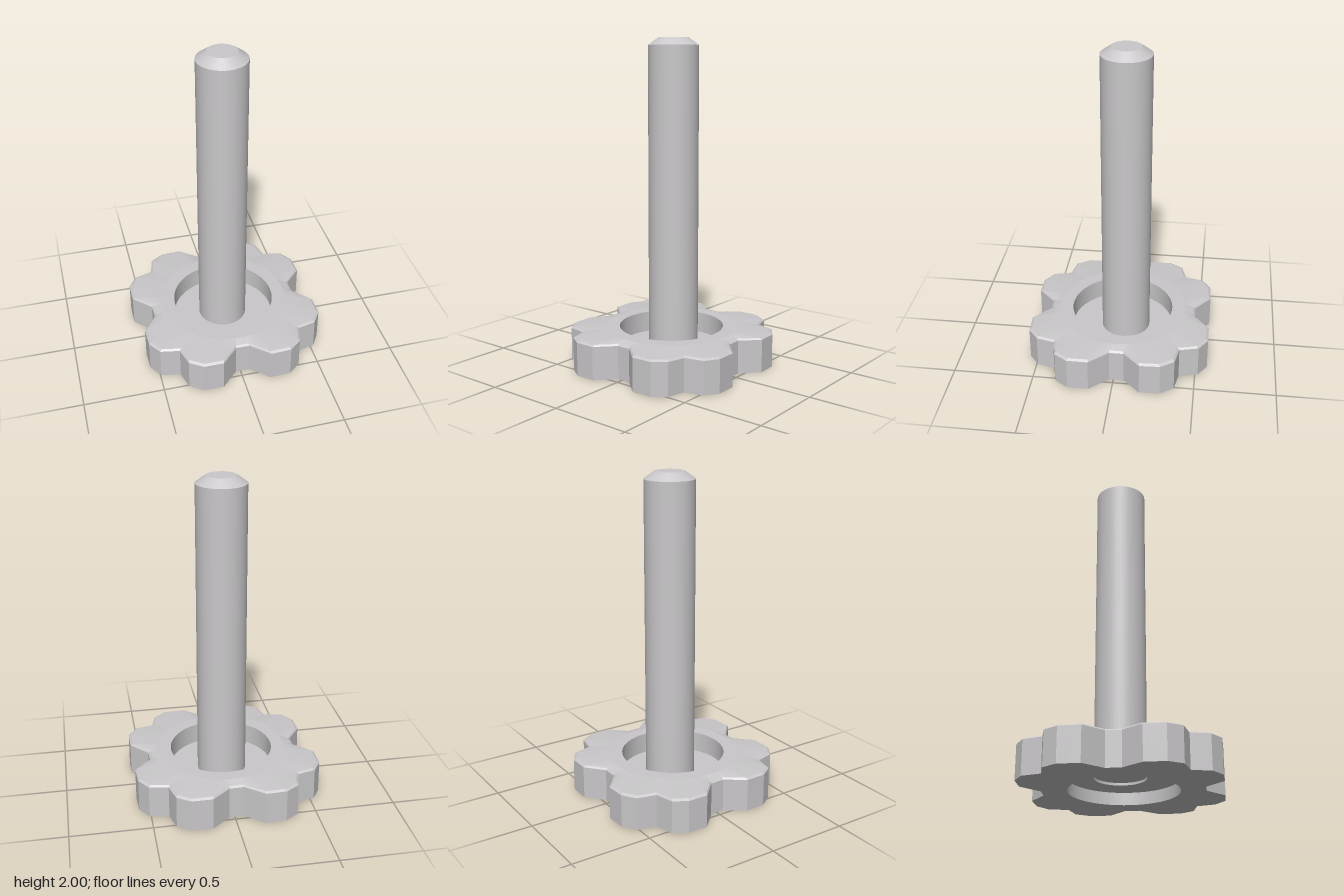
import * as THREE from 'three';

// Lobed rim outline as x, z pairs, clockwise from above
const OUTLINE = [
  [-.174, -.572], [-.054, -.474], [.035, -.477], [.149, -.572], [.278, -.572], [.362, -.517],
  [.392, -.4], [.509, -.378], [.565, -.295], [.571, -.169], [.469, -.065], [.469, .025],
  [.574, .142], [.574, .271], [.521, .354], [.405, .382], [.377, .492], [.3, .554],
  [.171, .56], [.057, .458], [-.029, .458], [-.134, .566], [-.26, .566], [-.343, .511],
  [-.374, .397], [-.494, .375], [-.549, .292], [-.552, .166], [-.466, .046], [-.469, -.043],
  [-.577, -.151], [-.577, -.28], [-.525, -.363], [-.411, -.394], [-.383, -.511], [-.3, -.566],
];
const BORE = { x: 0.003, z: -0.006, r: 0.322 };
const SHAFT = { x: 0.003, z: -0.027, r: 0.153 };

// Split every outline edge so the circles that join it are round
function subdivide(points, n) {
  const out = [];
  points.forEach(([x, z], i) => {
    const [x2, z2] = points[(i + 1) % points.length];
    for (let k = 0; k < n; k++) out.push([x + (x2 - x) * k / n, z + (z2 - z) * k / n]);
  });
  return out;
}

// Join consecutive rings with flat-shaded quads
function skin(rings) {
  const pos = [];
  for (let r = 0; r + 1 < rings.length; r++) {
    const a = rings[r], b = rings[r + 1];
    for (let i = 0; i < a.length; i++) {
      const j = (i + 1) % a.length;
      pos.push(...a[i], ...b[i], ...a[j], ...a[j], ...b[i], ...b[j]);
    }
  }
  const g = new THREE.BufferGeometry();
  g.setAttribute('position', new THREE.Float32BufferAttribute(pos, 3));
  g.computeVertexNormals();
  return g;
}

export function createModel() {
  const group = new THREE.Group();
  const metal = new THREE.MeshStandardMaterial({ color: 0xc9c7c9 });
  metal.name = 'light grey';
  const add = (name, geometry, x = 0, y = 0, z = 0) => {
    const mesh = new THREE.Mesh(geometry, metal);
    mesh.name = name;
    mesh.position.set(x, y, z);
    group.add(mesh);
  };

  // Lobed hand grip: bored ring with chamfered rim and slightly domed top
  const pts = subdivide(OUTLINE, 4);
  const lobed = (scale, y) => pts.map(([x, z]) => [x * scale, y, z * scale]);
  const circle = (r, y) => pts.map(([x, z]) => {
    const a = Math.atan2(z, x);
    return [BORE.x + r * Math.cos(a), y, BORE.z + r * Math.sin(a)];
  });
  add('lobedGrip', skin([
    circle(BORE.r, 0), lobed(1, 0), lobed(1, 0.205), lobed(0.974, 0.215),
    circle(0.405, 0.23), circle(BORE.r, 0.23), circle(BORE.r, 0),
  ]));

  // Web closing the bore, with a hole for the shaft
  const web = new THREE.Shape();
  web.absarc(BORE.x, -BORE.z, BORE.r, 0, Math.PI * 2, false);
  const hole = new THREE.Path();
  hole.absarc(SHAFT.x, -SHAFT.z, SHAFT.r, 0, Math.PI * 2, true);
  web.holes.push(hole);
  const webGeometry = new THREE.ExtrudeGeometry(web, { depth: 0.025, bevelEnabled: false, curveSegments: 64 });
  webGeometry.rotateX(-Math.PI / 2);
  add('web', webGeometry, 0, 0.075, 0);

  // Shaft with chamfered tip, its lower end set just inside the web
  const bottom = 0.09, shoulder = 1.955;
  add('shaft', new THREE.CylinderGeometry(SHAFT.r, SHAFT.r, shoulder - bottom, 64),
    SHAFT.x, (shoulder + bottom) / 2, SHAFT.z);
  add('shaftTip', new THREE.CylinderGeometry(0.09, SHAFT.r, 2 - shoulder, 64),
    SHAFT.x, (shoulder + 2) / 2, SHAFT.z);

  return group;
}
